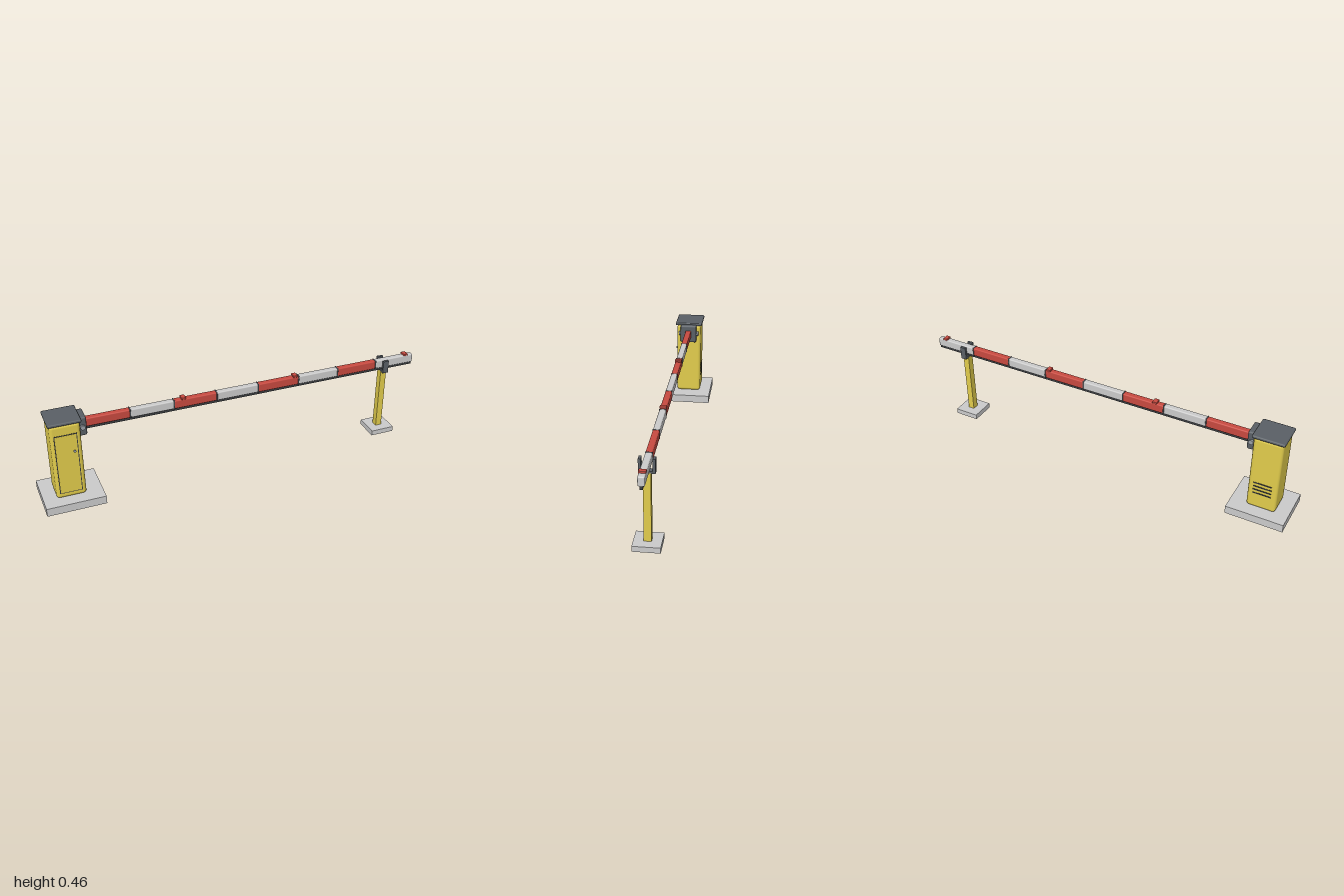
import * as THREE from 'three';
import { RoundedBoxGeometry } from 'three/addons/geometries/RoundedBoxGeometry.js';

const paint = (color) => new THREE.MeshStandardMaterial({ color });
const grey = paint(0xcccccc), yellow = paint(0xe2cd4c), dark = paint(0x5a6066);
const red = paint(0xc84a40), black = paint(0x3a3d40), steel = paint(0x9aa0a8);

export function createModel() {
  const model = new THREE.Group();

  const add = (name, geometry, material, x, y, z) => {
    const mesh = new THREE.Mesh(geometry, material);
    mesh.name = name;
    mesh.position.set(x, y, z);
    model.add(mesh);
    return mesh;
  };
  // Boxes are given by their x, y and z ranges
  const box = (name, material, [x0, x1], [y0, y1], [z0, z1], radius = 0, segments = 3) => {
    const size = [x1 - x0, y1 - y0, z1 - z0];
    const geometry = radius
      ? new RoundedBoxGeometry(...size, segments, radius)
      : new THREE.BoxGeometry(...size);
    return add(name, geometry, material, (x0 + x1) / 2, (y0 + y1) / 2, (z0 + z1) / 2);
  };

  // Cabinet on its concrete plinth, with an overhanging roof
  box('cabinetPlinth', grey, [-1, -0.71], [0, 0.042], [-0.126, 0.126]);
  box('cabinet', yellow, [-0.935, -0.79], [0.042, 0.443], [-0.067, 0.067], 0.016);
  box('roof', dark, [-0.943, -0.783], [0.442, 0.458], [-0.075, 0.075], 0.006, 1);

  // Door with a dark seam, and its lock
  box('doorSeam', black, [-0.919, -0.809], [0.07, 0.39], [0.06, 0.0685]);
  box('door', yellow, [-0.915, -0.813], [0.074, 0.386], [0.06, 0.0695]);
  const lock = add('doorLock', new THREE.CylinderGeometry(0.006, 0.006, 0.008, 16), steel, -0.828, 0.295, 0.071);
  lock.rotation.x = Math.PI / 2;

  // Ventilation slats on the back
  for (let i = 0; i < 4; i++) {
    const y = 0.13 + i * 0.02;
    box('ventSlat', black, [-0.906, -0.816], [y - 0.003, y + 0.003], [-0.069, -0.06]);
  }

  // Pivot housing and the shaft through it
  box('pivotHousing', dark, [-0.795, -0.755], [0.352, 0.45], [-0.045, 0.045], 0.008, 1);
  const shaft = add('pivotShaft', new THREE.CylinderGeometry(0.012, 0.012, 0.11, 24), steel, -0.776, 0.4, 0);
  shaft.rotation.x = Math.PI / 2;

  // Boom in eight alternating lengths, dark bands at the joints
  const start = -0.757, count = 8, step = (1 - start) / count;
  for (let i = 0; i < count; i++) {
    const x = start + i * step;
    box('boomSection', i % 2 ? grey : red, [x, x + step], [0.378, 0.423], [-0.0155, 0.0155], 0.006);
    if (i) box('boomJoint', dark, [x - 0.003, x + 0.003], [0.377, 0.424], [-0.0165, 0.0165], 0.002, 1);
  }
  box('boomRail', black, [start, 0.998], [0.364, 0.38], [-0.007, 0.007]);

  // Warning lights along the top
  for (const x of [-0.27, 0.323, 0.957]) {
    box('warningLight', red, [x - 0.012, x + 0.012], [0.421, 0.432], [-0.017, 0.017], 0.003, 2);
  }

  // Rest post with its fork
  box('postPlinth', grey, [0.767, 0.893], [0, 0.027], [-0.063, 0.063]);
  box('restPost', yellow, [0.814, 0.846], [0.027, 0.358], [-0.017, 0.017]);
  box('forkSaddle', dark, [0.815, 0.845], [0.356, 0.366], [-0.037, 0.037]);
  for (const side of [-1, 1]) {
    box('forkProng', dark, [0.815, 0.845], [0.36, 0.423], [side * 0.031 - 0.006, side * 0.031 + 0.006]);
  }

  return model;
}
